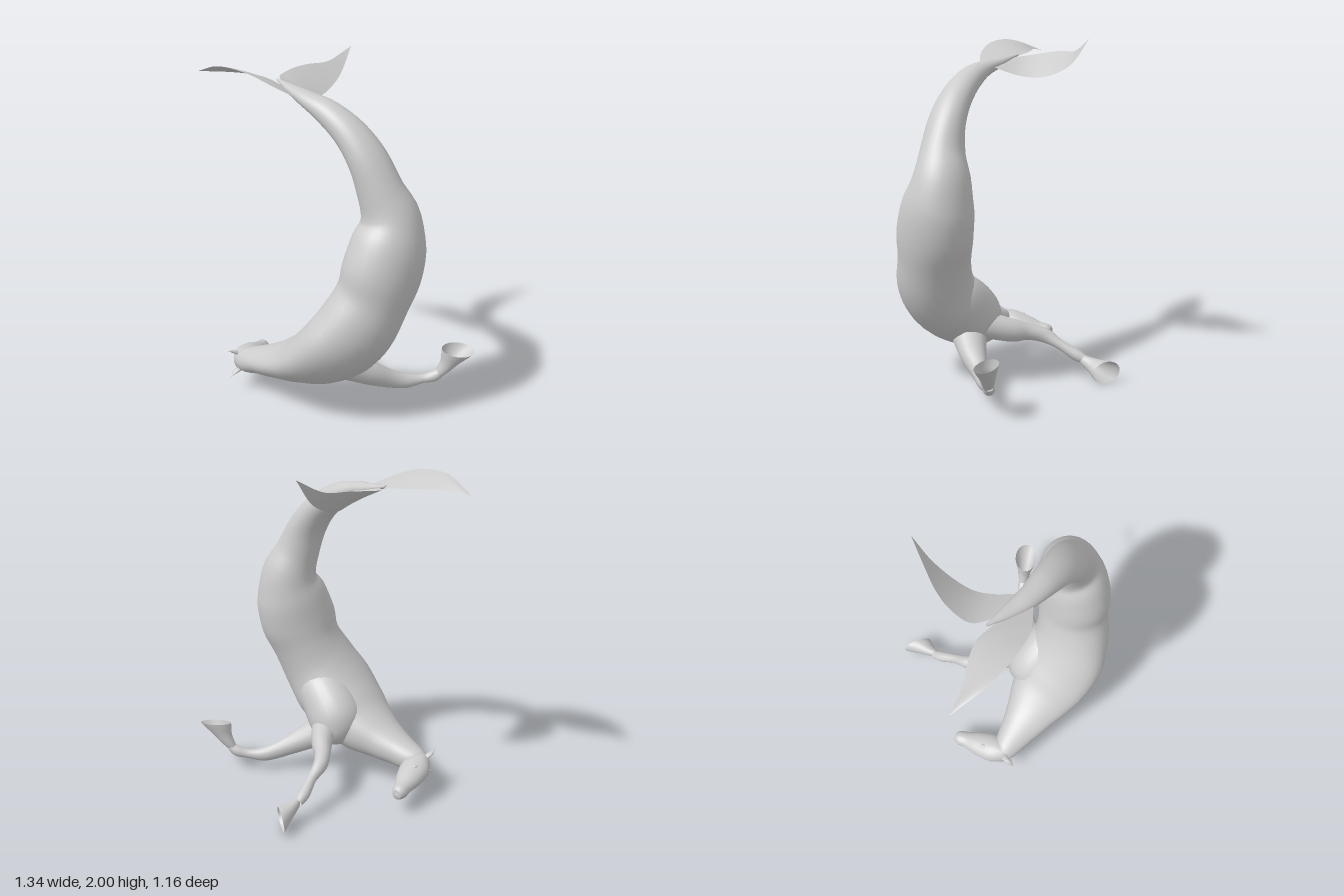
import * as THREE from 'three';

const material = new THREE.MeshStandardMaterial({ color: 0xcccccc, side: THREE.DoubleSide });
const V = (p) => new THREE.Vector3(p[0], p[1], p[2]);

function meshFrom(name, positions, indices) {
  const geometry = new THREE.BufferGeometry();
  geometry.setAttribute('position', new THREE.Float32BufferAttribute(positions, 3));
  geometry.setIndex(indices);
  geometry.computeVertexNormals();
  const mesh = new THREE.Mesh(geometry, material);
  mesh.name = name;
  return mesh;
}

// Smooth skin through oval sections [x, y, z, radius along ref, radius across ref, egg].
// egg narrows the section towards ref; facing fixes the plane of every section.
function loft(name, sections, ref, { sides = 20, facing = null } = {}) {
  const path = new THREE.CatmullRomCurve3(sections.map(V));
  const radii = new THREE.CatmullRomCurve3(
    sections.map((s) => new THREE.Vector3(s[3], s[4], s[5] ?? 0)), false, 'catmullrom', 0.4);
  const rings = (sections.length - 1) * 4;
  const positions = [], indices = [];
  for (let i = 0; i <= rings; i++) {
    const t = i / rings;
    const centre = path.getPoint(t), r = radii.getPoint(t);
    const tangent = facing ? V(facing).normalize() : path.getTangent(t);
    const n = V(ref).addScaledVector(tangent, -tangent.dot(V(ref))).normalize();
    const b = tangent.clone().cross(n);
    for (let k = 0; k < sides; k++) {
      const a = (k / sides) * Math.PI * 2, c = Math.cos(a), s = Math.sin(a);
      const p = centre.clone()
        .addScaledVector(n, c * r.x).addScaledVector(b, s * r.y * (1 - r.z * c));
      positions.push(p.x, p.y, p.z);
      if (i < rings) {
        const a0 = i * sides + k, b0 = i * sides + (k + 1) % sides;
        indices.push(a0, b0, a0 + sides, b0, b0 + sides, a0 + sides);
      }
    }
  }
  return meshFrom(name, positions, indices);
}

// Thin leaf-shaped sheet spanning two edge curves, slightly arched between them
function fin(name, edgeA, edgeB, camber, steps = 24, across = 6) {
  const a = new THREE.CatmullRomCurve3(edgeA.map(V));
  const b = new THREE.CatmullRomCurve3(edgeB.map(V));
  const positions = [], indices = [], row = across + 1;
  for (let i = 0; i <= steps; i++) {
    const t = i / steps, p = a.getPoint(t), q = b.getPoint(t);
    for (let j = 0; j <= across; j++) {
      const m = p.clone().lerp(q, j / across);
      m.y += camber * Math.sin(Math.PI * t) * Math.sin(Math.PI * j / across);
      positions.push(m.x, m.y, m.z);
      if (i < steps && j < across) {
        const k = i * row + j;
        indices.push(k, k + 1, k + row, k + 1, k + row + 1, k + row);
      }
    }
  }
  return meshFrom(name, positions, indices);
}

function ellipsoid(name, centre, radii) {
  const mesh = new THREE.Mesh(new THREE.SphereGeometry(1, 24, 16), material);
  mesh.name = name;
  mesh.position.set(...centre);
  mesh.scale.set(...radii);
  return mesh;
}

export function createModel() {
  const model = new THREE.Group();
  model.name = 'seaHorseCreature';

  // Body: tail tip, arched trunk, chest and neck in one skin
  model.add(loft('body', [
    [-0.27, 1.89, 0.235, 0.006, 0.006],
    [-0.12, 1.85, 0.22, 0.042, 0.03],
    [0.0, 1.82, 0.205, 0.06, 0.047],
    [0.13, 1.767, 0.165, 0.08, 0.07],
    [0.26, 1.67, 0.113, 0.1, 0.085],
    [0.355, 1.54, 0.07, 0.117, 0.1],
    [0.412, 1.38, 0.03, 0.13, 0.127],
    [0.45, 1.22, -0.012, 0.17, 0.168],
    [0.462, 1.07, 0.01, 0.22, 0.2],
    [0.457, 0.92, 0.05, 0.235, 0.207],
    [0.435, 0.78, 0.095, 0.215, 0.205, 0.04],
    [0.39, 0.62, 0.17, 0.235, 0.213, 0.1],
    [0.305, 0.49, 0.23, 0.26, 0.205, 0.16],
    [0.18, 0.38, 0.28, 0.245, 0.18, 0.22],
    [0.05, 0.305, 0.325, 0.205, 0.14, 0.22],
    [-0.1, 0.25, 0.385, 0.145, 0.102, 0.18],
    [-0.22, 0.218, 0.43, 0.105, 0.083, 0.12],
    [-0.33, 0.187, 0.465, 0.07, 0.07],
    [-0.365, 0.18, 0.455, 0.01, 0.01],
  ], [0, 0, 1], { sides: 32 }));
  // Chest and shoulder muscles filling the underside between the legs
  model.add(loft('chest', [
    [0.38, 0.64, 0.1, 0.01, 0.01],
    [0.3, 0.56, 0.11, 0.13, 0.13],
    [0.2, 0.45, 0.13, 0.16, 0.17],
    [0.12, 0.36, 0.15, 0.17, 0.17],
    [0.06, 0.28, 0.17, 0.14, 0.12],
    [0.02, 0.23, 0.19, 0.01, 0.01],
  ], [0, 0, 1], { sides: 28 }));

  // Head: poll to muzzle, with ears and eyes
  const head = new THREE.Group();
  head.name = 'head';
  head.add(loft('skull', [
    [-0.305, 0.19, 0.53, 0.003, 0.003],
    [-0.325, 0.188, 0.495, 0.062, 0.055],
    [-0.373, 0.178, 0.42, 0.073, 0.088],
    [-0.43, 0.16, 0.34, 0.06, 0.076],
    [-0.477, 0.143, 0.275, 0.046, 0.052],
    [-0.506, 0.135, 0.235, 0.044, 0.045],
    [-0.52, 0.13, 0.21, 0.03, 0.028],
    [-0.523, 0.13, 0.204, 0.002, 0.002],
  ], [0, 1, 0]));
  for (const [base, middle, tip] of [
    [[-0.345, 0.22, 0.49], [-0.358, 0.243, 0.525], [-0.348, 0.265, 0.57]],
    [[-0.325, 0.14, 0.5], [-0.335, 0.125, 0.535], [-0.325, 0.105, 0.575]],
  ]) {
    head.add(loft('ear', [
      [...base, 0.014, 0.012], [...middle, 0.02, 0.01], [...tip, 0.001, 0.001],
    ], [1, 0, 0], { sides: 10 }));
  }
  for (const y of [0.228, 0.112]) head.add(ellipsoid('eye', [-0.425, y, 0.385], [0.014, 0.01, 0.018]));
  model.add(head);

  // Forelegs
  model.add(loft('rightForeleg', [
    [0.11, 0.33, 0.06, 0.08, 0.08],
    [-0.03, 0.29, -0.03, 0.07, 0.062],
    [-0.12, 0.275, -0.07, 0.05, 0.048],
    [-0.2, 0.25, -0.125, 0.044, 0.042],
    [-0.25, 0.205, -0.205, 0.029, 0.029],
    [-0.31, 0.15, -0.285, 0.034, 0.034],
    [-0.34, 0.125, -0.335, 0.025, 0.025],
  ], [0, 1, 0], { sides: 16 }));
  model.add(loft('leftForeleg', [
    [0.18, 0.28, 0.12, 0.11, 0.1],
    [0.25, 0.2, -0.02, 0.08, 0.075],
    [0.3, 0.132, -0.16, 0.048, 0.055],
    [0.333, 0.105, -0.25, 0.04, 0.045],
    [0.375, 0.108, -0.34, 0.028, 0.028],
    [0.412, 0.125, -0.4, 0.034, 0.034],
    [0.437, 0.155, -0.435, 0.026, 0.026],
  ], [1, 0, 0], { sides: 16 }));

  // Flared hollow hooves
  model.add(loft('rightHoof', [
    [-0.328, 0.132, -0.315, 0.002, 0.002],
    [-0.333, 0.125, -0.33, 0.028, 0.028],
    [-0.358, 0.1, -0.39, 0.045, 0.05],
    [-0.388, 0.073, -0.465, 0.069, 0.09],
  ], [0, 1, 0], { facing: [0.22, -0.12, -1] }));
  model.add(loft('leftHoof', [
    [0.428, 0.132, -0.418, 0.002, 0.002],
    [0.434, 0.145, -0.427, 0.032, 0.028],
    [0.468, 0.22, -0.468, 0.056, 0.045],
    [0.503, 0.303, -0.503, 0.098, 0.07],
  ], [1, 0, -1], { facing: [0.2, 1, 0.1] }));

  // Tail flukes
  model.add(fin('leftFluke', [
    [-0.2, 1.865, 0.24], [-0.35, 1.893, 0.27], [-0.45, 1.905, 0.34],
    [-0.55, 1.91, 0.44], [-0.67, 1.9, 0.515],
  ], [
    [-0.01, 1.83, 0.265], [-0.1, 1.9, 0.375], [-0.23, 1.957, 0.455],
    [-0.43, 1.97, 0.515], [-0.67, 1.9, 0.52],
  ], 0.012));
  model.add(fin('rightFluke', [
    [-0.03, 1.83, 0.165], [-0.13, 1.785, 0.08], [-0.2, 1.77, 0.0],
    [-0.25, 1.785, -0.1], [-0.3, 1.85, -0.22], [-0.34, 2.0, -0.33],
  ], [
    [-0.22, 1.875, 0.22], [-0.33, 1.89, 0.18], [-0.38, 1.91, 0.06],
    [-0.385, 1.92, -0.05], [-0.365, 1.925, -0.18], [-0.342, 2.0, -0.33],
  ], 0));

  return model;
}
